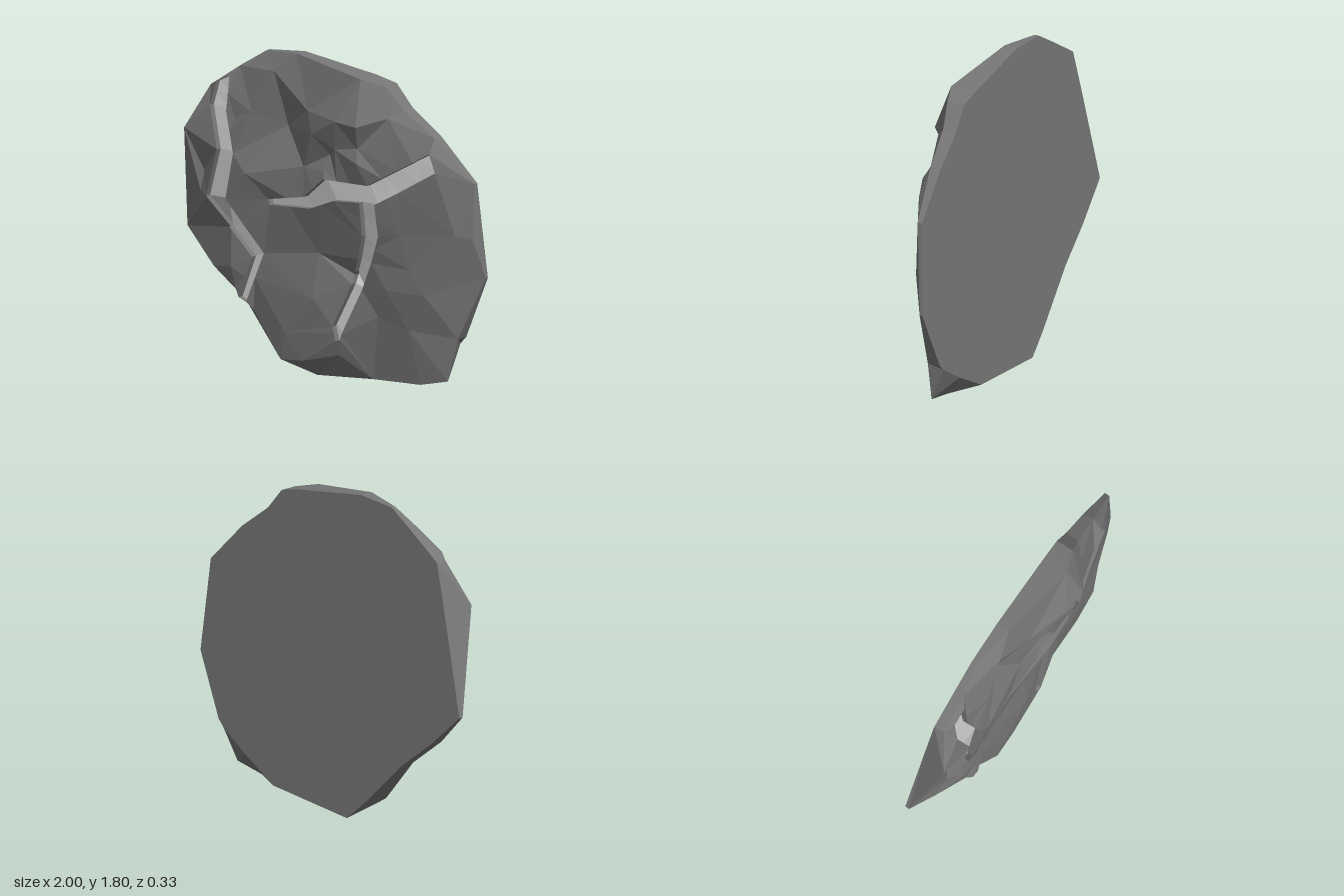
import * as THREE from 'three';

// Rim of the slab, clockwise seen from the front: x, y, front z, then back x, y where they differ
const RIM = [
  [-0.17, 0, -0.15], [-0.29, 0.1, 0.02], [-0.58, 0.38, -0.05], [-0.79, 0.54, -0.04], [-1, 0.73, -0.08],
  [-0.9, 1.31, 0.08, -0.85, 1.3], [-0.78, 1.55, 0], [-0.58, 1.68, 0], [-0.42, 1.78, -0.03], [-0.18, 1.8, 0.02],
  [0.3, 1.73, 0.08], [0.43, 1.7, 0.03], [0.53, 1.58, 0], [0.72, 1.44, -0.03], [0.95, 1.21, -0.08],
  [1, 0.69, -0.12], [0.84, 0.34, -0.08], [0.78, 0.1, -0.07, 0.8, 0.3], [0.6, 0.06, -0.06, 0.63, 0.19],
  [0.28, 0.05, -0.06, 0.4, 0.06],
];

// Bumps and hollows of the front face: x, y, z
const BUMPS = [
  [-0.31, 1.69, 0.05], [-0.45, 1.45, 0.07], [-0.26, 1.39, -0.01], [-0.48, 1.11, 0.09], [-0.11, 1.19, 0.05],
  [-0.06, 1.51, 0.08], [0.18, 1.49, 0.15], [0.33, 1.48, 0.165], [0.47, 1.53, 0.06], [0.3, 1.35, 0.11],
  [-0.02, 1.39, 0.1], [0.15, 1.33, 0.115], [0.31, 1.27, 0.13], [0.07, 1.28, 0.05], [0.05, 1.19, 0.08],
  [-0.03, 0.72, 0.02], [0.18, 0.62, -0.03], [-0.05, 0.47, 0.05], [-0.6, 0.46, 0.02], [-0.48, 0.35, 0.01],
  [-0.25, 0.26, 0.04], [-0.14, 0.11, 0.02], [0.1, 0.17, 0.01], [0.43, 0.57, 0.02], [0.35, 0.41, -0.01],
  [0.58, 0.7, 0.01], [0.53, 0.89, 0.03], [0.67, 0.57, 0], [0.55, 0.36, -0.02], [0.8, 1.31, -0.01],
  [0.86, 0.92, -0.03], [0.95, 0.9, -0.07], [-0.8, 1.08, 0.03], [-0.82, 0.97, 0.04], [-0.64, 0.78, 0],
  [-0.62, 0.57, 0.03], [-0.57, 1.4, 0.06],
];

// Sunken veins as cross-sections: first edge x, y, second edge x, y, z of the rock beside it
const VEINS = {
  leftVein: [
    [-0.72, 1.58, -0.63, 1.62, 0.03], [-0.74, 1.45, -0.63, 1.43, 0.06], [-0.67, 1.22, -0.56, 1.21, 0.09],
    [-0.75, 0.95, -0.62, 0.95, 0.08], [-0.48, 0.64, -0.4, 0.67, 0.025], [-0.56, 0.41, -0.51, 0.39, 0.04],
  ],
  crossVein: [
    [0.72, 1.36, 0.76, 1.26, 0.02], [0.53, 1.25, 0.54, 1.13, 0.06], [0.35, 1.15, 0.4, 1.05, 0.09],
    [0.24, 1.15, 0.3, 1.05, 0.095], [0.06, 1.15, 0.13, 1.04, 0.1], [-0.09, 1.03, -0.05, 0.97, 0.075],
    [-0.35, 0.98, -0.34, 0.95, 0.05],
  ],
  lowerVein: [
    [0.3, 1.05, 0.4, 1.05, 0.09], [0.29, 0.86, 0.4, 0.87, 0.055], [0.24, 0.72, 0.33, 0.71, 0.025],
    [0.18, 0.57, 0.25, 0.55, 0], [0.07, 0.33, 0.13, 0.29, 0.03], [0.09, 0.25, 0.12, 0.26, 0.03],
  ],
};
const VEIN_DEPTH = 0.035;

const backZ = (x, y) => -0.16 + 0.055 * y - 0.015 * x;
const sunk = ([x, y, z]) => [x, y, z - VEIN_DEPTH];

function facetedMesh(name, positions, color) {
  const geometry = new THREE.BufferGeometry();
  geometry.setAttribute('position', new THREE.Float32BufferAttribute(positions.flat(), 3));
  geometry.computeVertexNormals();
  const material = new THREE.MeshStandardMaterial({ color, flatShading: true, side: THREE.DoubleSide });
  const mesh = new THREE.Mesh(geometry, material);
  mesh.name = name;
  return mesh;
}

function insidePolygon(polygon, x, y) {
  let inside = false;
  polygon.forEach(([ax, ay], i) => {
    const [bx, by] = polygon[(i + 1) % polygon.length];
    if ((ay > y) !== (by > y) && x < ax + ((y - ay) / (by - ay)) * (bx - ax)) inside = !inside;
  });
  return inside;
}

// Delaunay triangles in the xy plane: keep each triple whose circumcircle is empty
function triangulate(points) {
  const out = [];
  const n = points.length;
  for (let i = 0; i < n; i++) for (let j = i + 1; j < n; j++) for (let k = j + 1; k < n; k++) {
    const [a, b, c] = [points[i], points[j], points[k]];
    const bx = b[0] - a[0], by = b[1] - a[1], cx = c[0] - a[0], cy = c[1] - a[1];
    const d = 2 * (bx * cy - by * cx);
    if (Math.abs(d) < 1e-6) continue;
    const b2 = bx * bx + by * by, c2 = cx * cx + cy * cy;
    const ux = (cy * b2 - by * c2) / d, uy = (bx * c2 - cx * b2) / d;
    const r2 = ux * ux + uy * uy - 1e-9;
    if (points.some((p) => (p[0] - a[0] - ux) ** 2 + (p[1] - a[1] - uy) ** 2 < r2)) continue;
    out.push(d > 0 ? [a, b, c] : [a, c, b]);
  }
  return out;
}

// Outline of a vein: down one edge and back along the other
const veinOutline = (sections) => [
  ...sections.map(([x, y]) => [x, y]),
  ...sections.map(([, , x, y]) => [x, y]).reverse(),
];

export function createModel() {
  const model = new THREE.Group();
  model.name = 'veinedRock';

  // Points of the front face, with the vein edges subdivided
  const rim = RIM.map((p) => p.slice(0, 3));
  const points = [...rim, ...BUMPS];
  const add = (x, y, z) => {
    if (!points.some((p) => Math.hypot(p[0] - x, p[1] - y) < 0.012)) points.push([x, y, z]);
  };
  Object.values(VEINS).forEach((sections) => sections.forEach((s, i) => {
    const next = sections[i + 1] ?? s;
    [0, 0.5].forEach((t) => {
      const [ax, ay, bx, by, z] = s.map((v, c) => v + (next[c] - v) * t);
      add(ax, ay, z);
      add(bx, by, z);
    });
  }));

  // Sort the front triangles into rock and vein floors
  const rock = [];
  const floors = Object.entries(VEINS).map(([name, s]) => ({ name, outline: veinOutline(s), tris: [] }));
  triangulate(points).forEach((tri) => {
    const [x, y] = [0, 1].map((c) => (tri[0][c] + tri[1][c] + tri[2][c]) / 3);
    if (!insidePolygon(RIM, x, y)) return;
    const floor = floors.find(({ outline }) => insidePolygon(outline, x, y));
    (floor ? floor.tris : rock).push(...tri);
  });

  // Groove walls where a vein meets the rock
  const edges = [];
  floors.forEach(({ tris }) => tris.forEach((p, i) => edges.push([p, tris[i % 3 === 2 ? i - 2 : i + 1]])));
  edges.forEach(([a, b]) => {
    if (edges.some(([c, d]) => c === b && d === a)) return;
    rock.push(a, b, sunk(b), a, sunk(b), sunk(a));
  });

  // Wall around the rim and flat, slightly tilted back
  const back = RIM.map(([x, y, , bx = x, by = y]) => [bx, by, backZ(bx, by)]);
  rim.forEach((p, i) => {
    const j = (i + 1) % rim.length;
    rock.push(p, rim[j], back[j], p, back[j], back[i]);
  });
  const flat = back.map(([x, y]) => new THREE.Vector2(x, y));
  THREE.ShapeUtils.triangulateShape(flat, []).forEach(([a, b, c]) => {
    const area = (flat[b].x - flat[a].x) * (flat[c].y - flat[a].y) - (flat[b].y - flat[a].y) * (flat[c].x - flat[a].x);
    rock.push(...(area < 0 ? [back[a], back[b], back[c]] : [back[a], back[c], back[b]]));
  });

  model.add(facetedMesh('rockSlab', rock, 0x777777));
  floors.forEach(({ name, tris }) => model.add(facetedMesh(name, tris.map(sunk), 0xcccccc)));
  return model;
}
